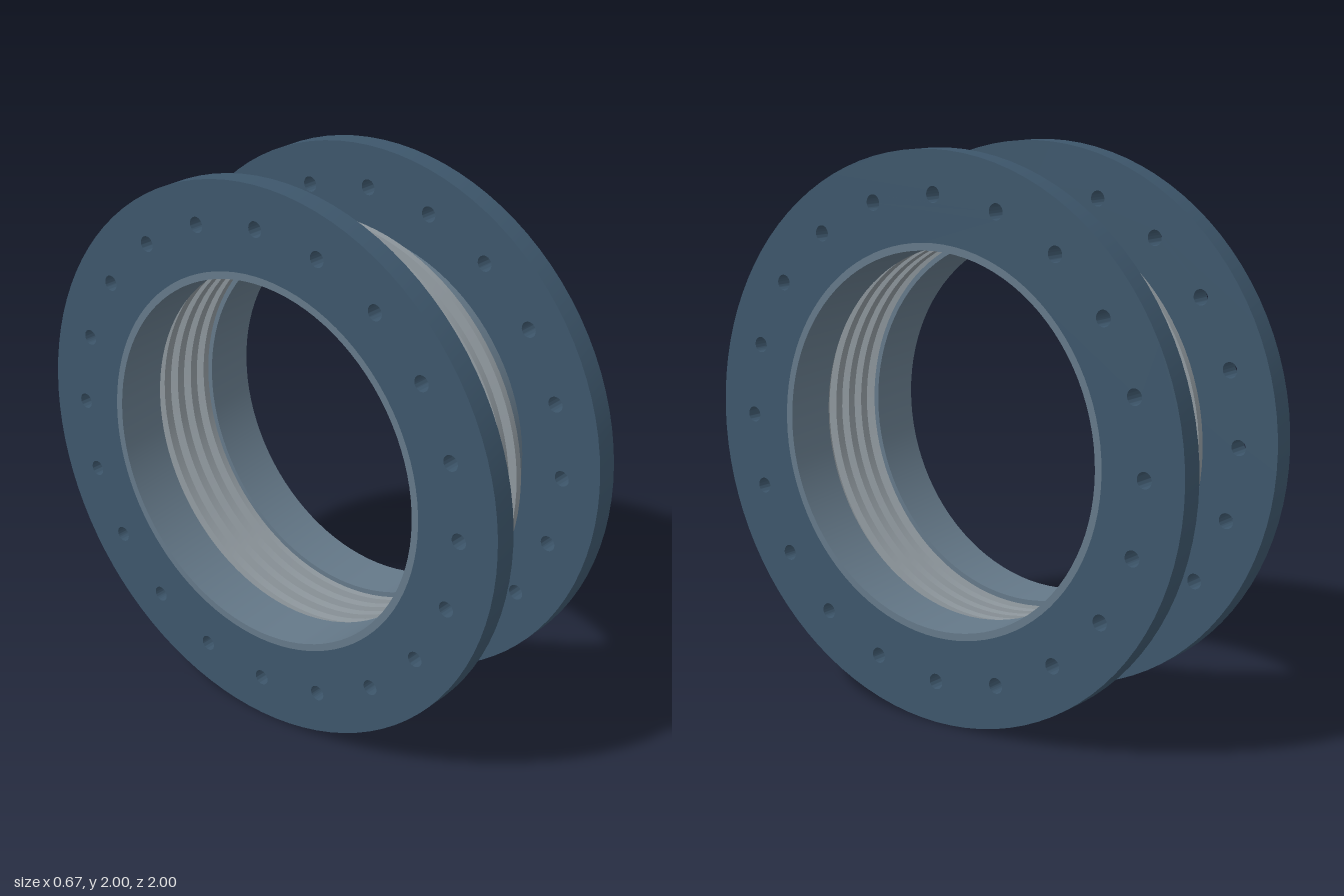
import * as THREE from 'three';
import { toCreasedNormals } from 'three/addons/utils/BufferGeometryUtils.js';

const flangeMat = new THREE.MeshStandardMaterial({ color: 0x3d566b });
const pipeMat = new THREE.MeshStandardMaterial({ color: 0x647888 });
const bellowsMat = new THREE.MeshStandardMaterial({ color: 0x8e979d });

const OUTER = 0.335; // outer face of each flange along x
const INNER = 0.25; // inner face of each flange
const BELLOWS_END = 0.14;
const PIPE_R = 0.688;
const BORE_R = 0.662;

// Closed ring swept round the x axis from [radius, x] points
function ring(name, profile, material) {
  const points = [...profile, profile[0]].map(([r, x]) => new THREE.Vector2(r, x));
  const geometry = new THREE.LatheGeometry(points, 96).rotateZ(-Math.PI / 2);
  const mesh = new THREE.Mesh(toCreasedNormals(geometry, 0.5), material);
  mesh.name = name;
  return mesh;
}

// Flat ring with a circle of twenty bolt holes
function flangeGeometry() {
  const shape = new THREE.Shape().absarc(0, 0, 1, 0, Math.PI * 2);
  shape.holes.push(new THREE.Path().absarc(0, 0, PIPE_R, 0, Math.PI * 2, true));
  for (let i = 0; i < 20; i++) {
    const a = (i / 20) * Math.PI * 2;
    shape.holes.push(
      new THREE.Path().absarc(0.85 * Math.cos(a), 0.85 * Math.sin(a), 0.028, 0, Math.PI * 2, true)
    );
  }
  const geometry = new THREE.ExtrudeGeometry(shape, {
    depth: OUTER - INNER, bevelEnabled: false, curveSegments: 48,
  });
  return toCreasedNormals(geometry.rotateY(Math.PI / 2), 0.5);
}

// Thin corrugated wall: four trapezoid folds, each followed by a narrow valley
function bellowsProfile() {
  const outside = [], inside = [];
  const pitch = 0.07, wall = 0.007;
  for (let i = 0; i < 4; i++) {
    const x = -BELLOWS_END + i * pitch;
    outside.push([PIPE_R, x], [0.782, x + 0.011], [0.782, x + 0.036], [PIPE_R, x + 0.051]);
    inside.push(
      [PIPE_R - wall, i ? x + wall : x], [0.782 - wall, x + 0.011 + wall],
      [0.782 - wall, x + 0.036 - wall], [PIPE_R - wall, x + 0.051 - wall]
    );
  }
  outside.push([PIPE_R, BELLOWS_END]);
  inside.push([PIPE_R - wall, BELLOWS_END]);
  return [...outside, ...inside.reverse()];
}

export function createModel() {
  const model = new THREE.Group();
  model.name = 'expansionJoint';
  const flange = flangeGeometry();

  // Flange and pipe stub at each end
  for (const [side, s] of [['left', 1], ['right', -1]]) {
    const plate = new THREE.Mesh(flange, flangeMat);
    plate.name = `${side}Flange`;
    plate.position.x = s > 0 ? INNER : -OUTER;
    const lo = s > 0 ? BELLOWS_END : -OUTER;
    const hi = s > 0 ? OUTER : -BELLOWS_END;
    const stub = ring(
      `${side}Pipe`, [[PIPE_R, lo], [PIPE_R, hi], [BORE_R, hi], [BORE_R, lo]], pipeMat
    );
    model.add(plate, stub);
  }

  // Corrugated middle
  model.add(ring('bellows', bellowsProfile(), bellowsMat));

  model.children.forEach((part) => { part.position.y = 1; });
  return model;
}
